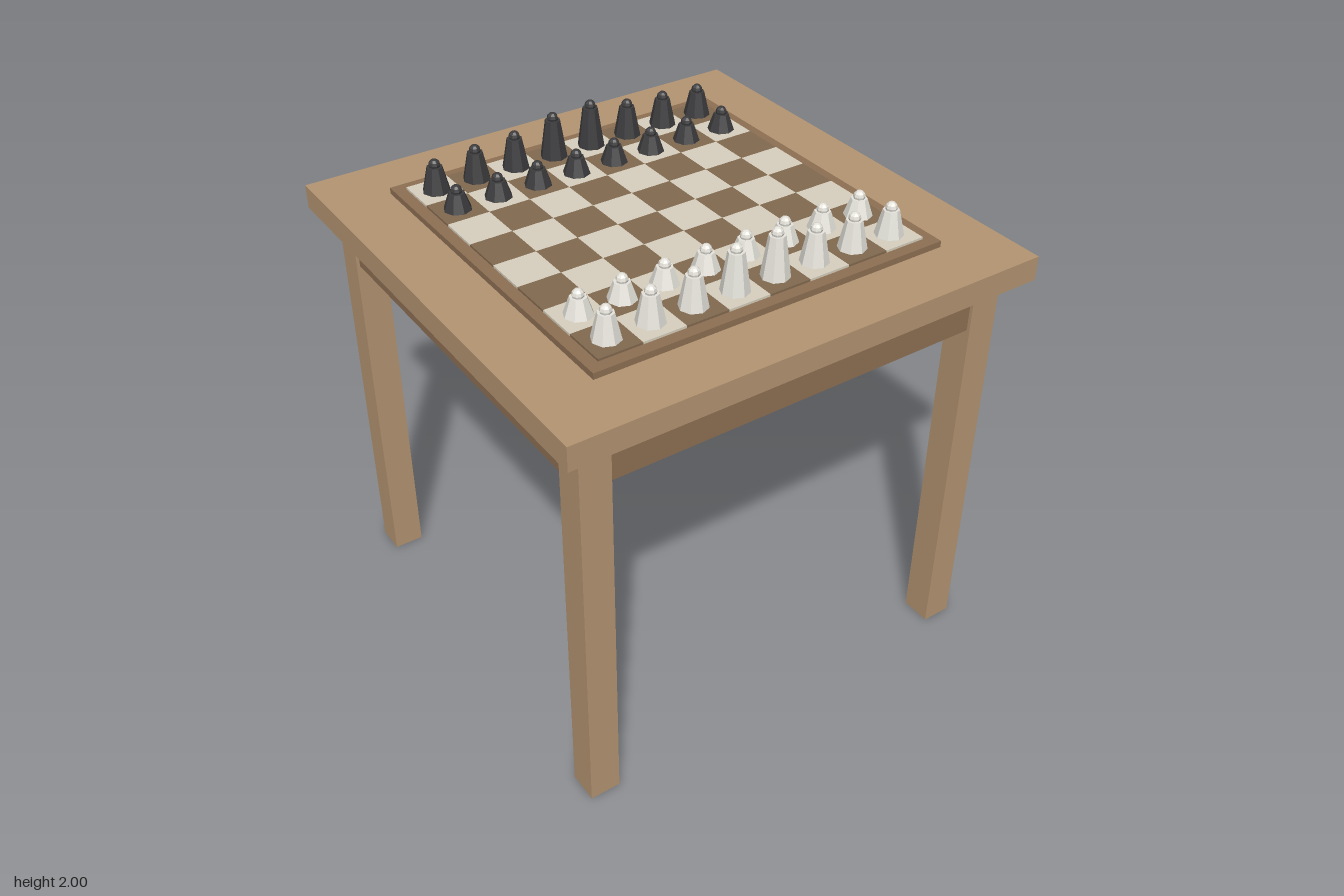
import * as THREE from 'three';

const mat = (color, flatShading = false) => new THREE.MeshStandardMaterial({ color, flatShading });

export function createModel() {
  const model = new THREE.Group();
  model.name = 'chessTable';
  const wood = mat(0xb59572), darkWood = mat(0x8f7053);
  const lightSquare = mat(0xd8d0be), darkSquare = mat(0x836a50);
  const lightPiece = mat(0xe6e4dc, true), darkPiece = mat(0x3c3c3e, true);

  const add = (parent, name, geometry, material, x, y, z) => {
    const mesh = new THREE.Mesh(geometry, material);
    mesh.name = name;
    mesh.position.set(x, y, z);
    parent.add(mesh);
    return mesh;
  };
  // Square slab between two heights
  const slab = (name, width, y0, y1, material) =>
    add(model, name, new THREE.BoxGeometry(width, y1 - y0, width), material, 0, (y0 + y1) / 2, 0);

  // Table
  slab('tableTop', 1.966, 1.674, 1.772, wood);
  slab('apron', 1.77, 1.478, 1.674, darkWood);
  const legGeometry = new THREE.BoxGeometry(0.123, 1.674, 0.123);
  for (const sx of [-1, 1]) for (const sz of [-1, 1])
    add(model, 'leg', legGeometry, wood, sx * 0.837, 0.837, sz * 0.837);

  // Board with 8 x 8 squares
  slab('boardBase', 1.474, 1.772, 1.797, darkWood);
  const step = 0.1725, squareTop = 1.806;
  const at = (i) => (i - 3.5) * step;
  const squares = new THREE.Group();
  squares.name = 'squares';
  model.add(squares);
  const squareGeometry = new THREE.BoxGeometry(step, squareTop - 1.797, step);
  for (let col = 0; col < 8; col++) for (let row = 0; row < 8; row++)
    add(squares, 'square', squareGeometry, (col + row) % 2 ? darkSquare : lightSquare,
      at(col), (1.797 + squareTop) / 2, at(row));

  // Each piece is an eight-sided tapered body with a small round head
  const headRadius = 0.023;
  const headGeometry = new THREE.SphereGeometry(headRadius, 8, 6);
  const addPiece = (name, material, col, row, height) => {
    const piece = new THREE.Group();
    piece.name = name;
    piece.position.set(at(col), squareTop, at(row));
    const body = height - headRadius * 1.35;
    add(piece, 'body', new THREE.CylinderGeometry(0.031, 0.055, body, 8), material, 0, body / 2, 0);
    add(piece, 'head', headGeometry, material, 0, height - headRadius, 0);
    model.add(piece);
  };

  const backRow = [
    ['rook', 0.132], ['knight', 0.144], ['bishop', 0.154], ['queen', 0.186],
    ['king', 0.194], ['bishop', 0.154], ['knight', 0.144], ['rook', 0.132],
  ];
  backRow.forEach(([name, height], col) => {
    addPiece(name, lightPiece, col, 7, height);
    addPiece('pawn', lightPiece, col, 6, 0.1);
    addPiece(name, darkPiece, col, 0, height);
    addPiece('pawn', darkPiece, col, 1, 0.1);
  });
  return model;
}
